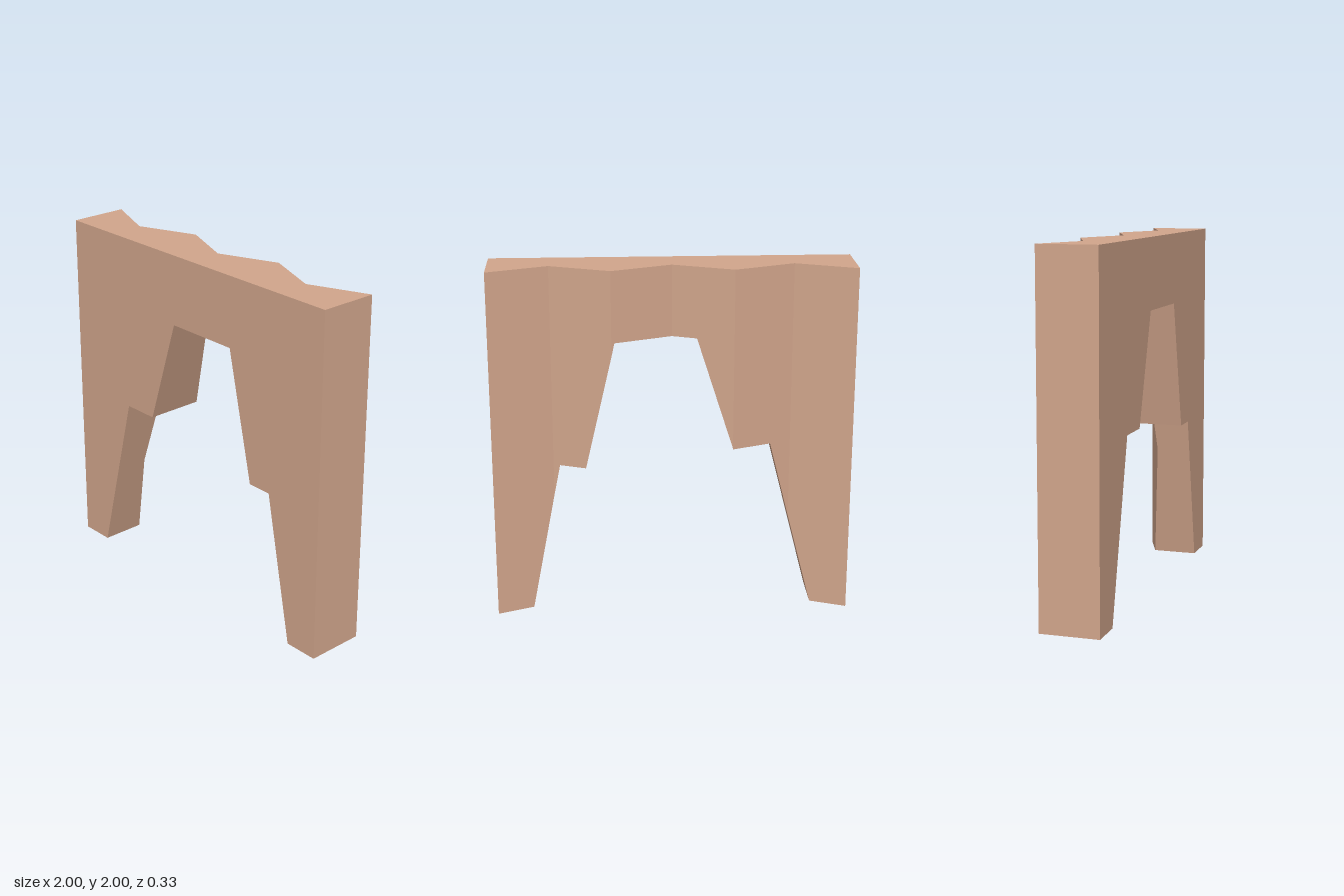
import * as THREE from 'three';

const TOP = 2, FRONT = 0.167;

// Underside of the arch, left to right: foot, step, crown, step, foot
const underside = [
  [-1, 0], [-0.8, 0], [-0.55, 0.98], [-0.335, 0.98], [-0.135, 1.6],
  [0.317, 1.6], [0.484, 0.86], [0.63, 0.86], [0.8, 0], [1, 0],
];

// Pleated back: alternating ridges and valleys
const pleats = [];
for (let i = 0; i <= 6; i++) pleats.push([-1 + i / 3, i % 2 ? -0.033 : -0.167]);

// Piecewise linear lookup along x
function sample(line, x) {
  for (let i = 1; i < line.length; i++) {
    const [x0, v0] = line[i - 1], [x1, v1] = line[i];
    if (x <= x1) return v0 + (v1 - v0) * (x - x0) / (x1 - x0);
  }
  return line[line.length - 1][1];
}

function createArchGeometry() {
  const positions = [];
  const quad = (a, b, c, d) => [a, b, c, a, c, d].forEach((p) => positions.push(...p));

  // Four corners of the cross-section at every fold or profile corner
  const sections = [...underside, ...pleats]
    .map(([x]) => x)
    .sort((a, b) => a - b)
    .filter((x, i, all) => i === 0 || x - all[i - 1] > 1e-5)
    .map((x) => {
      const y = sample(underside, x), back = sample(pleats, x);
      return {
        frontLow: [x, y, FRONT], frontTop: [x, TOP, FRONT],
        backLow: [x, y, back], backTop: [x, TOP, back],
      };
    });

  // Front, back, top and underside between neighbouring sections
  for (let i = 1; i < sections.length; i++) {
    const a = sections[i - 1], b = sections[i];
    quad(a.frontLow, b.frontLow, b.frontTop, a.frontTop);
    quad(b.backLow, a.backLow, a.backTop, b.backTop);
    quad(a.frontTop, b.frontTop, b.backTop, a.backTop);
    quad(a.backLow, b.backLow, b.frontLow, a.frontLow);
  }

  // End walls
  const first = sections[0], last = sections[sections.length - 1];
  quad(first.backLow, first.frontLow, first.frontTop, first.backTop);
  quad(last.frontLow, last.backLow, last.backTop, last.frontTop);

  const geometry = new THREE.BufferGeometry();
  geometry.setAttribute('position', new THREE.Float32BufferAttribute(positions, 3));
  geometry.computeVertexNormals();
  return geometry;
}

export function createModel() {
  const group = new THREE.Group();
  group.name = 'steppedArch';
  const material = new THREE.MeshStandardMaterial({ color: 0xd2a68c, flatShading: true });
  const arch = new THREE.Mesh(createArchGeometry(), material);
  arch.name = 'archWall';
  group.add(arch);
  return group;
}
